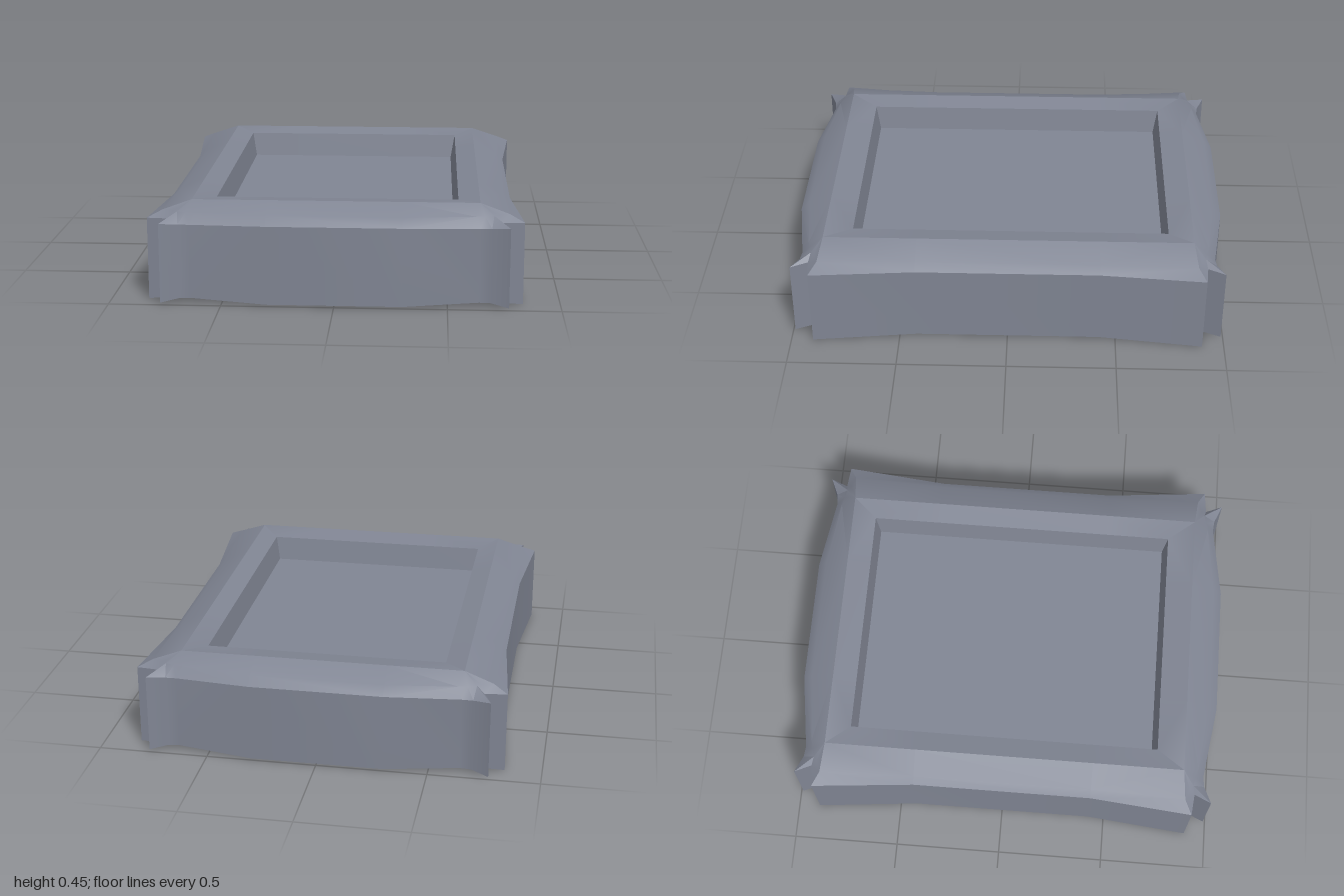
import * as THREE from 'three';
import { toCreasedNormals } from 'three/addons/utils/BufferGeometryUtils.js';

const material = new THREE.MeshStandardMaterial({ color: 0x808593, side: THREE.DoubleSide });

// Mirror a quarter section (front middle to side middle, [x, y, z]) into a closed ring
function ring(quarter, shiftZ = 0) {
  const points = [];
  for (const [sx, sz] of [[1, 1], [1, -1], [-1, -1], [-1, 1]]) {
    const part = quarter.map(([x, y, z]) => new THREE.Vector3(x * sx, y, z * sz + shiftZ));
    points.push(...(sx * sz > 0 ? part : part.reverse()));
  }
  return points;
}

// Skin successive rings along the shorter diagonals, skipping collapsed triangles
function loft(name, rings, crease) {
  const positions = [];
  const triangle = (a, b, c) => {
    if (new THREE.Triangle(a, b, c).getArea() < 1e-7) return;
    for (const p of [a, b, c]) positions.push(p.x, p.y, p.z);
  };
  for (let r = 0; r < rings.length - 1; r++) {
    const low = rings[r], high = rings[r + 1];
    for (let i = 0; i < low.length; i++) {
      const j = (i + 1) % low.length;
      if (low[i].distanceTo(high[j]) < low[j].distanceTo(high[i])) {
        triangle(low[i], low[j], high[j]);
        triangle(low[i], high[j], high[i]);
      } else {
        triangle(low[i], low[j], high[i]);
        triangle(low[j], high[j], high[i]);
      }
    }
  }
  const geometry = new THREE.BufferGeometry();
  geometry.setAttribute('position', new THREE.Float32BufferAttribute(positions, 3));
  const mesh = new THREE.Mesh(toCreasedNormals(geometry, crease), material);
  mesh.name = name;
  return mesh;
}

// Rectangle sampled to match the points of the outer sections
function rectangle(x, y, z, shiftZ = 0) {
  const corner = [x, y, z];
  return ring([[0.3, y, z], corner, corner, corner, corner, corner, [x, y, 0.42]], shiftZ);
}

export function createModel() {
  const group = new THREE.Group();
  group.name = 'recessedCover';

  // Wavy outer wall with pinched, flaring corners
  const hem = ring([
    [0.3, 0.012, 1], [0.64, 0.022, 0.95], [0.69, 0.022, 0.955], [0.77, 0.01, 0.99],
    [0.735, 0.01, 0.91], [0.835, 0.003, 0.9], [0.79, 0.012, 0.42],
  ]);
  const shoulder = ring([
    [0.3, 0.367, 1], [0.64, 0.358, 0.95], [0.69, 0.36, 0.955], [0.77, 0.37, 0.99],
    [0.735, 0.375, 0.91], [0.835, 0.375, 0.9], [0.79, 0.37, 0.42],
  ]);
  group.add(loft('skirt', [hem, shoulder], 0.6));

  // Rounded shoulder rising to the frame, which dips slightly towards its rim
  const bevel = ring([
    [0.3, 0.405, 0.96], [0.62, 0.405, 0.92], [0.66, 0.405, 0.91], [0.7, 0.405, 0.9],
    [0.72, 0.405, 0.885], [0.77, 0.405, 0.865], [0.755, 0.4, 0.42],
  ]);
  const frame = rectangle(0.64, 0.45, 0.85);
  const rim = rectangle(0.545, 0.432, 0.73, -0.008);
  group.add(loft('topFrame', [shoulder, bevel, frame, rim], 0.5));

  // Sunken panel with slightly tapered walls
  const foot = rectangle(0.525, 0.315, 0.71, -0.008);
  group.add(loft('recessWalls', [rim, foot], 0.5));

  const panel = new THREE.Mesh(new THREE.PlaneGeometry(1.05, 1.42), material);
  panel.name = 'recessFloor';
  panel.rotation.x = -Math.PI / 2;
  panel.position.set(0, 0.315, -0.008);
  group.add(panel);

  return group;
}
